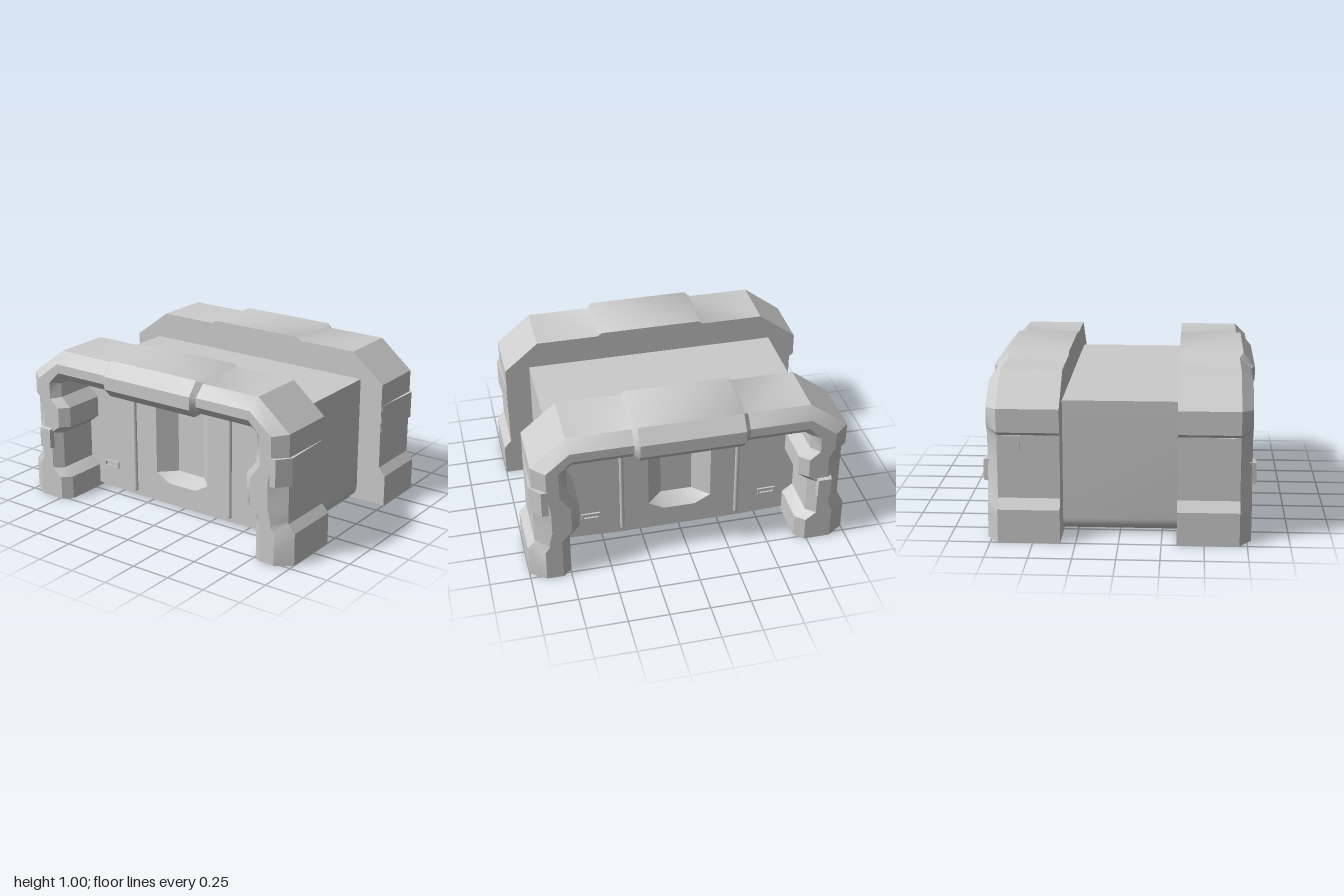
import * as THREE from 'three';
import { toCreasedNormals } from 'three/addons/utils/BufferGeometryUtils.js';

const material = new THREE.MeshStandardMaterial({ color: 0xcccccc });
const doubleSided = new THREE.MeshStandardMaterial({ color: 0xcccccc, side: THREE.DoubleSide });
const PANEL_Z = 0.46;

// Arch stations: outer x, outer y, inner x, inner y, front z
const SIDE = 0.775, MID = 0.8;
const STATIONS = [
  [-1, 0, -0.68, 0], [-1, 0.15, -0.68, 0.15], [-1, 0.2, -0.745, 0.2],
  [-0.955, 0.26, -0.745, 0.26], [-0.955, 0.45, -0.745, 0.44], [-0.955, 0.5, -0.68, 0.49],
  [-0.955, 0.61, -0.68, 0.62], [-0.955, 0.64, -0.745, 0.68], [-0.98, 0.66, -0.745, 0.7],
  [-0.98, 0.8, -0.745, 0.77], [-0.74, 0.98, -0.71, 0.8], [-0.35, 0.98, -0.35, 0.8],
  [-0.32, 1, -0.32, 0.78, MID], [0.32, 1, 0.32, 0.78, MID],
  [0.35, 0.98, 0.35, 0.8], [0.74, 0.98, 0.71, 0.8], [0.955, 0.8, 0.745, 0.77],
  [0.955, 0.6, 0.745, 0.6], [0.955, 0.5, 0.68, 0.51], [0.955, 0.35, 0.68, 0.34],
  [0.955, 0.27, 0.745, 0.27], [0.955, 0.25, 0.745, 0.22], [1, 0.2, 0.745, 0.2], [1, 0, 0.745, 0],
];

function fromIndex(positions, index) {
  const g = new THREE.BufferGeometry();
  g.setAttribute('position', new THREE.Float32BufferAttribute(positions, 3));
  g.setIndex(index);
  return toCreasedNormals(g, 0.6);
}

// Loft a chamfered six-point section through the arch stations
function archGeometry() {
  const pos = [], idx = [], n = 6;
  for (const [ox, oy, ix, iy, zf = SIDE] of STATIONS) {
    const len = Math.hypot(ix - ox, iy - oy);
    const outer = Math.min(0.1 / len, 0.38), inner = 1 - Math.min(0.055 / len, 0.32);
    const section = [[0, 0.34], [0, zf - 0.07], [outer, zf], [inner, zf], [1, zf - 0.05], [1, 0.34]];
    for (const [t, z] of section) pos.push(ox + (ix - ox) * t, oy + (iy - oy) * t, z);
  }
  const last = (STATIONS.length - 1) * n;
  for (let s = 0; s < last; s += n) {
    for (let i = 0; i < n; i++) {
      const a = s + i, b = s + (i + 1) % n;
      idx.push(a, b, b + n, a, b + n, a + n);
    }
  }
  for (let i = 1; i < n - 1; i++) idx.push(0, i + 1, i, last, last + i, last + i + 1);
  return fromIndex(pos, idx);
}

function polygon(points) {
  return new THREE.Shape(points.map(([x, y]) => new THREE.Vector2(x, y)));
}

function extrude(shape, depth, z) {
  const g = new THREE.ExtrudeGeometry(shape, { depth, bevelEnabled: false, curveSegments: 6 });
  return g.translate(0, 0, z);
}

// Solid with a narrower front face, used for the clips
function taperedBox(w, h, d, taper) {
  const g = new THREE.BoxGeometry(w, h, d).toNonIndexed();
  const p = g.attributes.position;
  for (let i = 0; i < p.count; i++) {
    if (p.getZ(i) > 0) p.setXY(i, p.getX(i) * taper, p.getY(i) * taper);
  }
  g.computeVertexNormals();
  return g;
}

// Mirror a geometry in z and restore its winding
function mirrorZ(source) {
  const g = source.index ? source.toNonIndexed() : source.clone();
  for (const name of ['position', 'normal']) {
    const a = g.attributes[name], v = new THREE.Vector3(), w = new THREE.Vector3();
    for (let i = 0; i < a.count; i += 3) {
      v.fromBufferAttribute(a, i);
      w.fromBufferAttribute(a, i + 2);
      a.setXYZ(i, w.x, w.y, w.z);
      a.setXYZ(i + 2, v.x, v.y, v.z);
    }
    for (let i = 0; i < a.count; i++) a.setZ(i, -a.getZ(i));
  }
  return g;
}

const OPENING = [[-0.2, 0.21], [-0.1, 0.155], [0.1, 0.155], [0.2, 0.21], [0.2, 0.78], [-0.2, 0.78]];

function panelGeometry() {
  const shape = polygon([[-0.76, 0.03], [-0.38, 0.015], [0.38, 0.015], [0.76, 0.03], [0.76, 0.81], [-0.76, 0.81]]);
  shape.holes.push(new THREE.Path(polygon(OPENING).getPoints()));
  return extrude(shape, PANEL_Z - 0.33, 0.33);
}

// Three-sided recess with a floor that slopes out to the panel
function recessGeometry() {
  const plan = [[-0.2, PANEL_Z], [-0.1, PANEL_Z - 0.1], [0.1, PANEL_Z - 0.1], [0.2, PANEL_Z]];
  const pos = [], idx = [];
  for (const y of [0.21, 0.78]) for (const [x, z] of plan) pos.push(x, y, z);
  pos.push(-0.1, 0.155, PANEL_Z, 0.1, 0.155, PANEL_Z);
  for (let i = 0; i < 3; i++) idx.push(i, i + 1, i + 5, i, i + 5, i + 4);
  idx.push(0, 8, 1, 8, 9, 2, 8, 2, 1, 9, 3, 2, 4, 5, 6, 4, 6, 7);
  return fromIndex(pos, idx);
}

function slotGeometry(x) {
  const rect = (w, h) => polygon([[x - w, 0.18 - h], [x + w, 0.18 - h], [x + w, 0.18 + h], [x - w, 0.18 + h]]);
  const shape = rect(0.058, 0.021);
  shape.holes.push(new THREE.Path(rect(0.046, 0.011).getPoints()));
  return extrude(shape, 0.014, PANEL_Z - 0.002);
}

// Band around the outer side of a leg, drawn in plan and raised in y
function bandGeometry() {
  const plan = polygon([[0.88, -0.35], [0.957, -0.35], [0.973, -0.7], [0.91, -0.78], [0.87, -0.78]]);
  const g = new THREE.ExtrudeGeometry(plan, { depth: 0.17, bevelEnabled: false });
  return g.rotateX(-Math.PI / 2).translate(0, 0.49, 0);
}

export function createModel() {
  const model = new THREE.Group();
  model.name = 'crate';
  const add = (name, geometry, mat = material) => {
    const mesh = new THREE.Mesh(geometry, mat);
    mesh.name = name;
    model.add(mesh);
  };

  // Main body with rounded lower edges
  const body = new THREE.Shape();
  const r = 0.08, bottom = 0.01;
  body.moveTo(-0.8 + r, bottom);
  body.lineTo(0.8 - r, bottom);
  body.quadraticCurveTo(0.8, bottom, 0.8, bottom + r);
  body.lineTo(0.8, 0.81);
  body.lineTo(-0.8, 0.81);
  body.lineTo(-0.8, bottom + r);
  body.quadraticCurveTo(-0.8, bottom, -0.8 + r, bottom);
  add('body', toCreasedNormals(extrude(body, 0.7, -0.35), 0.6));

  // Parts repeated on both ends
  const ends = [
    ['archFrame', archGeometry()],
    ['endPanel', panelGeometry()],
    ['handRecess', recessGeometry(), doubleSided],
    ['legBand', bandGeometry()],
    ['frontClip', taperedBox(0.1, 0.15, 0.06, 0.82).translate(-0.835, 0.405, 0.768)],
    ['sideClip', new THREE.BoxGeometry(0.04, 0.09, 0.1).translate(-0.95, 0.595, 0.62)],
  ];
  for (const x of [-1, 1]) {
    ends.push(['panelRib', new THREE.CapsuleGeometry(0.014, 0.69, 3, 8).translate(x * 0.37, 0.4, PANEL_Z + 0.004)]);
    ends.push(['panelSlot', slotGeometry(x * 0.57)]);
  }
  for (const [name, geometry, mat] of ends) {
    add(name + 'Front', geometry, mat);
    add(name + 'Back', mirrorZ(geometry), mat);
  }
  return model;
}
